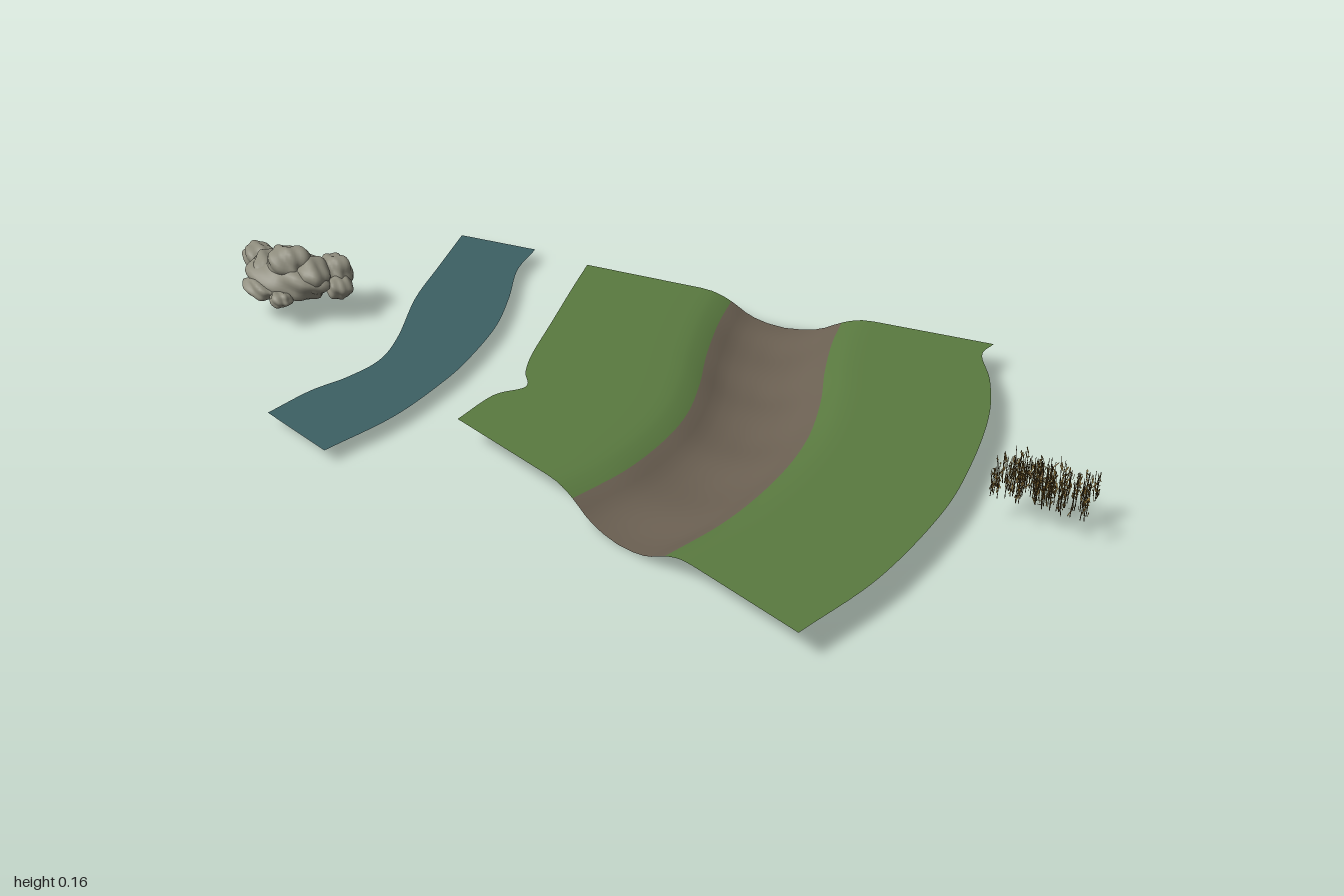
import * as THREE from 'three';
import { mergeGeometries, mergeVertices } from 'three/addons/utils/BufferGeometryUtils.js';

const mat = (name, color, side = THREE.FrontSide) => {
  const m = new THREE.MeshStandardMaterial({ color, side });
  m.name = name;
  return m;
};

// Seeded random numbers
function seeded(seed) {
  return () => {
    seed = (seed * 16807) % 2147483647;
    return seed / 2147483647;
  };
}

// Smooth curve over the ground plane from [x, z] pairs
const ground = (pts) => new THREE.CatmullRomCurve3(
  pts.map(([x, z]) => new THREE.Vector3(x, 0, z)), false, 'catmullrom', 0.5);

// Surface made of rows of points, upward facing; groupOf(column) picks the material
function sheet(rows, groupOf) {
  const n = rows[0].length;
  const geo = new THREE.BufferGeometry().setFromPoints(rows.flat());
  const index = [];
  for (let j = 0; j < n - 1; j++) {
    const start = index.length;
    for (let i = 0; i < rows.length - 1; i++) {
      const a = i * n + j, b = a + 1, c = a + n, d = c + 1;
      index.push(a, c, b, b, c, d);
    }
    geo.addGroup(start, index.length - start, groupOf(j));
  }
  geo.setIndex(index);
  geo.computeVertexNormals();
  return geo;
}

// Riverbed section: height against distance from the centre line
const SECTION = [[0, 0.006], [0.04, 0.008], [0.07, 0.014], [0.09, 0.022],
  [0.11, 0.034], [0.13, 0.045], [0.15, 0.053], [0.17, 0.058], [0.195, 0.06], [9, 0.06]];
function bedHeight(d) {
  const k = SECTION.findIndex((p) => p[0] > d);
  const [a, b] = [SECTION[k - 1], SECTION[k]];
  return THREE.MathUtils.mapLinear(d, a[0], b[0], a[1], b[1]);
}

function riverLand(grass, bed) {
  const left = ground([[-0.305, -0.445], [-0.28, -0.33], [-0.245, -0.18], [-0.215, -0.05],
    [-0.19, 0.02], [-0.16, 0.07], [-0.2, 0.13], [-0.215, 0.24]]);
  const mid = ground([[0.16, -0.49], [0.18, -0.385], [0.215, -0.265], [0.255, -0.155],
    [0.285, -0.03], [0.29, 0.1], [0.27, 0.25], [0.225, 0.39]]);
  const right = ground([[0.61, -0.545], [0.605, -0.49], [0.655, -0.4], [0.7, -0.27],
    [0.73, -0.09], [0.74, 0.09], [0.715, 0.33], [0.655, 0.54]]);
  // Column offsets: fine in the channel, coarse on the banks
  const half = [0.02, 0.04, 0.055, 0.07, 0.08, 0.09, 0.1, 0.11, 0.125, 0.14, 0.155, 0.17, 0.195, 0.25, 0.32, 1];
  const offsets = [...half.map((d) => -d).reverse(), 0, ...half];
  const rows = [];
  for (let i = 0; i <= 70; i++) {
    const t = i / 70;
    const c = mid.getPoint(t);
    rows.push(offsets.map((o) => {
      const edge = (o < 0 ? left : right).getPoint(t);
      const width = edge.distanceTo(c);
      const d = Math.min(Math.abs(o), width);
      const p = c.clone().lerp(edge, d / width);
      const ripple = 0.003 * Math.sin(t * 31 + o * 9) * Math.max(0, 1 - d / 0.13);
      p.y = Math.max(0, bedHeight(d) + ripple - 0.003 * Math.max(0, 1 - d / 0.08));
      return p;
    }));
  }
  const geo = sheet(rows, (j) => {
    const o = (offsets[j] + offsets[j + 1]) / 2;
    return Math.abs(o) < 0.125 ? 1 : 0;
  });
  const mesh = new THREE.Mesh(geo, [grass, bed]);
  mesh.name = 'riverLand';
  return mesh;
}

function waterRibbon(water) {
  const left = ground([[-0.66, -0.485], [-0.625, -0.33], [-0.59, -0.18], [-0.53, -0.02],
    [-0.51, 0.08], [-0.53, 0.17], [-0.565, 0.25], [-0.59, 0.36]]);
  const right = ground([[-0.475, -0.505], [-0.46, -0.4], [-0.41, -0.28], [-0.37, -0.16],
    [-0.35, -0.03], [-0.345, 0.08], [-0.36, 0.25], [-0.41, 0.42]]);
  const rows = [];
  for (let i = 0; i <= 50; i++) {
    const a = left.getPoint(i / 50), b = right.getPoint(i / 50);
    rows.push([0, 0.25, 0.5, 0.75, 1].map((s) => a.clone().lerp(b, s).setY(0.028)));
  }
  const mesh = new THREE.Mesh(sheet(rows, () => 0), [water]);
  mesh.name = 'waterRibbon';
  return mesh;
}

// Lumpy boulder with a flattened underside
function boulder(x, y, z, rx, ry, rz, seed) {
  let geo = new THREE.IcosahedronGeometry(1, 7);
  geo.deleteAttribute('uv');
  geo.deleteAttribute('normal');
  geo = mergeVertices(geo, 1e-4);
  const p = geo.attributes.position;
  const v = new THREE.Vector3();
  for (let i = 0; i < p.count; i++) {
    v.fromBufferAttribute(p, i);
    const lump = 1
      + 0.1 * Math.sin(3.1 * v.x + seed) * Math.cos(2.7 * v.z + seed * 2)
      + 0.08 * Math.sin(5.3 * v.y + 4.1 * v.x + seed * 3)
      + 0.05 * Math.sin(8 * v.z - 5 * v.x + seed * 5);
    v.multiplyScalar(lump);
    p.setXYZ(i, x + v.x * rx, Math.max(0.05, y + v.y * ry), z + v.z * rz);
  }
  geo.computeVertexNormals();
  return geo;
}

function rockPile(stone) {
  const group = new THREE.Group();
  group.name = 'rockPile';
  [
    [-0.825, 0.085, -0.05, 0.095, 0.045, 0.065, 1],
    [-0.82, 0.122, -0.045, 0.05, 0.038, 0.042, 2.4],
    [-0.77, 0.1, -0.05, 0.045, 0.035, 0.045, 5.2],
    [-0.885, 0.09, -0.05, 0.04, 0.035, 0.045, 3.7],
    [-0.955, 0.075, -0.11, 0.042, 0.028, 0.036, 4.1],
    [-0.745, 0.098, -0.1, 0.044, 0.034, 0.036, 6.3],
    [-0.715, 0.075, -0.075, 0.028, 0.026, 0.03, 7.7],
    [-0.805, 0.065, 0.018, 0.024, 0.017, 0.022, 8.2],
    [-0.865, 0.07, 0.005, 0.045, 0.022, 0.03, 9.5],
  ].forEach((r, i) => {
    const mesh = new THREE.Mesh(boulder(...r), stone);
    mesh.name = 'rock' + (i + 1);
    group.add(mesh);
  });
  return group;
}

// Block of thin dry reeds with short leaves
function reedPatch(stemMat, leafMat) {
  const rand = seeded(4711);
  const stems = [], leaves = [];
  const dummy = new THREE.Object3D();
  const place = (geo, x, y, z, rx, ry, rz) => {
    dummy.position.set(x, y, z);
    dummy.rotation.set(rx, ry, rz);
    dummy.updateMatrix();
    return geo.applyMatrix4(dummy.matrix);
  };
  for (let i = 0; i < 150; i++) {
    const x = 0.795 + 0.183 * rand(), z = -0.1 + 0.095 * rand();
    const h = 0.045 + 0.025 * rand();
    stems.push(place(new THREE.CylinderGeometry(0.0006, 0.0009, h, 3).translate(0, h / 2, 0),
      x, 0.06, z, (rand() - 0.5) * 0.15, 0, (rand() - 0.5) * 0.15));
    for (let k = 0; k < 4; k++) {
      const y = 0.066 + (h - 0.006) * rand();
      leaves.push(place(new THREE.PlaneGeometry(0.0024, 0.012), x + (rand() - 0.5) * 0.008, y,
        z + (rand() - 0.5) * 0.008, (rand() - 0.5) * 1.4, rand() * 6.28, (rand() - 0.5) * 1.4));
    }
  }
  const group = new THREE.Group();
  group.name = 'reedPatch';
  const stemMesh = new THREE.Mesh(mergeGeometries(stems), stemMat);
  stemMesh.name = 'reedStems';
  const leafMesh = new THREE.Mesh(mergeGeometries(leaves), leafMat);
  leafMesh.name = 'reedLeaves';
  group.add(stemMesh, leafMesh);
  return group;
}

export function createModel() {
  const model = new THREE.Group();
  model.name = 'riverKit';
  model.add(
    riverLand(mat('grassGreen', 0x5a7a40, THREE.DoubleSide), mat('bedBrown', 0x6c6153, THREE.DoubleSide)),
    waterRibbon(mat('waterTeal', 0x3d6064, THREE.DoubleSide)),
    rockPile(mat('stoneGrey', 0x8f8d7e)),
    reedPatch(mat('stemBrown', 0x5a4826), mat('leafGold', 0x9a7c3c, THREE.DoubleSide)),
  );
  return model;
}
